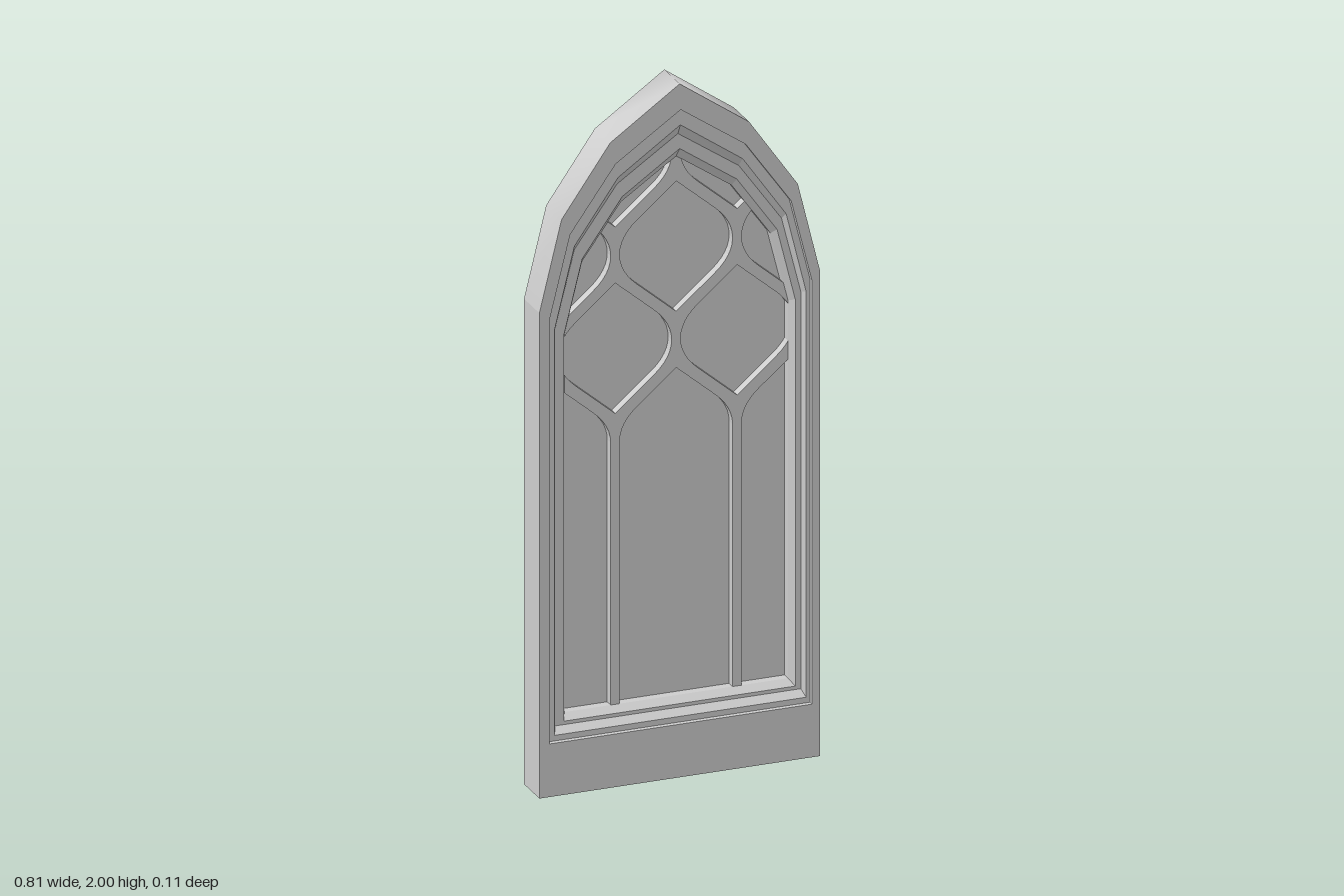
import * as THREE from 'three';

const HALF_DEPTH = 0.055, TRACERY_Z = -0.01, PANEL_Z = -0.035;

// Pointed-arch outline, clockwise from the lower left corner
function ring(cx, w, bottom, spring, apex, z) {
  const h = apex - spring;
  const half = [[1, bottom], [1, spring], [0.842, spring + 0.433 * h], [0.495, spring + 0.767 * h]];
  const at = (s) => ([k, y]) => new THREE.Vector3(cx + s * k * w, y, z);
  return [...half.map(at(-1)), new THREE.Vector3(cx, apex, z), ...half.map(at(1)).reverse()];
}

const atDepth = (pts, z) => pts.map((p) => new THREE.Vector3(p.x, p.y, z));

// Strip of quads joining two outlines between point indices from..to
function band(outer, inner, from, to, smooth) {
  const n = outer.length, pos = [], index = [];
  for (let i = from; i <= to; i++) {
    for (const p of [outer[i % n], inner[i % n]]) pos.push(p.x, p.y, p.z);
    if (i < to) {
      const a = (i - from) * 2;
      index.push(a, a + 1, a + 3, a, a + 3, a + 2);
    }
  }
  let geo = new THREE.BufferGeometry();
  geo.setAttribute('position', new THREE.Float32BufferAttribute(pos, 3));
  geo.setIndex(index);
  if (!smooth) geo = geo.toNonIndexed();
  geo.computeVertexNormals();
  return geo;
}

// Keep the part of a polygon inside a convex clockwise outline
function clip(poly, outline) {
  let out = poly;
  outline.forEach((a, i) => {
    const b = outline[(i + 1) % outline.length];
    const side = (p) => (b.y - a.y) * (p.x - a.x) - (b.x - a.x) * (p.y - a.y);
    const src = out;
    out = [];
    src.forEach((p, j) => {
      const q = src[(j + 1) % src.length], sp = side(p), sq = side(q);
      if (sp >= 0) out.push(p);
      if (sp * sq < 0) out.push(new THREE.Vector2().lerpVectors(p, q, sp / (sp - sq)));
    });
  });
  return out;
}

// Upper half of a tracery opening: curved shoulders and a straight-sided point
function openingTop() {
  const V = (x, y) => new THREE.Vector2(x, y);
  const right = new THREE.QuadraticBezierCurve(V(0.1625, 0), V(0.1625, 0.05), V(0.112, 0.093)).getPoints(6);
  const left = right.map((p) => V(-p.x, p.y)).reverse();
  return [...right, V(0, 0.188), ...left];
}

export function createModel() {
  const model = new THREE.Group();
  model.name = 'archedWindow';
  const stone = new THREE.MeshStandardMaterial({ color: 0xcccccc });
  stone.name = 'grey stone';
  const add = (name, geo, parent = model) => {
    const mesh = new THREE.Mesh(geo, stone);
    mesh.name = name;
    parent.add(mesh);
    return mesh;
  };

  // Stepped and chamfered frame
  const outer = ring(0, 0.404, 0, 1.4, 2, HALF_DEPTH);
  const back = atDepth(outer, -HALF_DEPTH);
  const lip = ring(0.003, 0.378, 0.153, 1.375, 1.925, HALF_DEPTH);
  const inner = ring(0.016, 0.322, 0.21, 1.3, 1.765, TRACERY_Z);
  const seat = ring(0.016, 0.333, 0.195, 1.31, 1.796, 0.015);
  const steps = [
    outer, lip, atDepth(lip, 0.04),
    ring(0.008, 0.362, 0.169, 1.34, 1.875, 0.04),
    ring(0.011, 0.354, 0.185, 1.33, 1.84, 0.015),
    seat, inner,
  ];
  const frame = new THREE.Group();
  frame.name = 'frame';
  model.add(frame);
  for (let i = 0; i + 1 < steps.length; i++) add('frameStep' + (i + 1), band(steps[i], steps[i + 1], 0, 9, false), frame);

  // Outer sides: flat jambs and base, smooth arch
  add('rightJamb', band(back, outer, 0, 1, false), frame);
  add('archSide', band(back, outer, 1, 7, true), frame);
  add('leftJamb', band(back, outer, 7, 8, false), frame);
  add('base', band(back, outer, 8, 9, false), frame);

  const flat = (pts) => new THREE.ShapeGeometry(new THREE.Shape(pts.map((p) => new THREE.Vector2(p.x, p.y))));
  const backFace = add('backFace', flat(outer), frame);
  backFace.rotation.y = Math.PI;
  backFace.position.z = -HALF_DEPTH;

  // Recessed panel behind the tracery
  add('panel', flat(seat)).position.z = PANEL_Z;

  // Tracery plate: a staggered lattice of openings above three lancets
  const top = openingTop();
  const oval = [...top, ...top.slice(1, -1).map((p) => new THREE.Vector2(-p.x, -p.y))];
  const lancet = [...top, new THREE.Vector2(-0.1625, -1), new THREE.Vector2(0.1625, -1)];
  const plate = new THREE.Shape(seat.map((p) => new THREE.Vector2(p.x, p.y)));
  const rows = [
    [lancet, 0.967, [-1, 0, 1]],
    [oval, 1.237, [-0.5, 0.5]],
    [oval, 1.505, [-1, 0, 1]],
    [oval, 1.775, [-0.5, 0.5]],
  ];
  for (const [shape, y, columns] of rows) {
    for (const c of columns) {
      const hole = clip(shape.map((p) => new THREE.Vector2(p.x + 0.016 + c * 0.351, p.y + y)), inner);
      if (hole.length > 2) plate.holes.push(new THREE.Path(hole));
    }
  }
  const tracery = new THREE.ExtrudeGeometry(plate, { depth: TRACERY_Z - PANEL_Z, bevelEnabled: false });
  add('tracery', tracery).position.z = PANEL_Z;

  return model;
}
